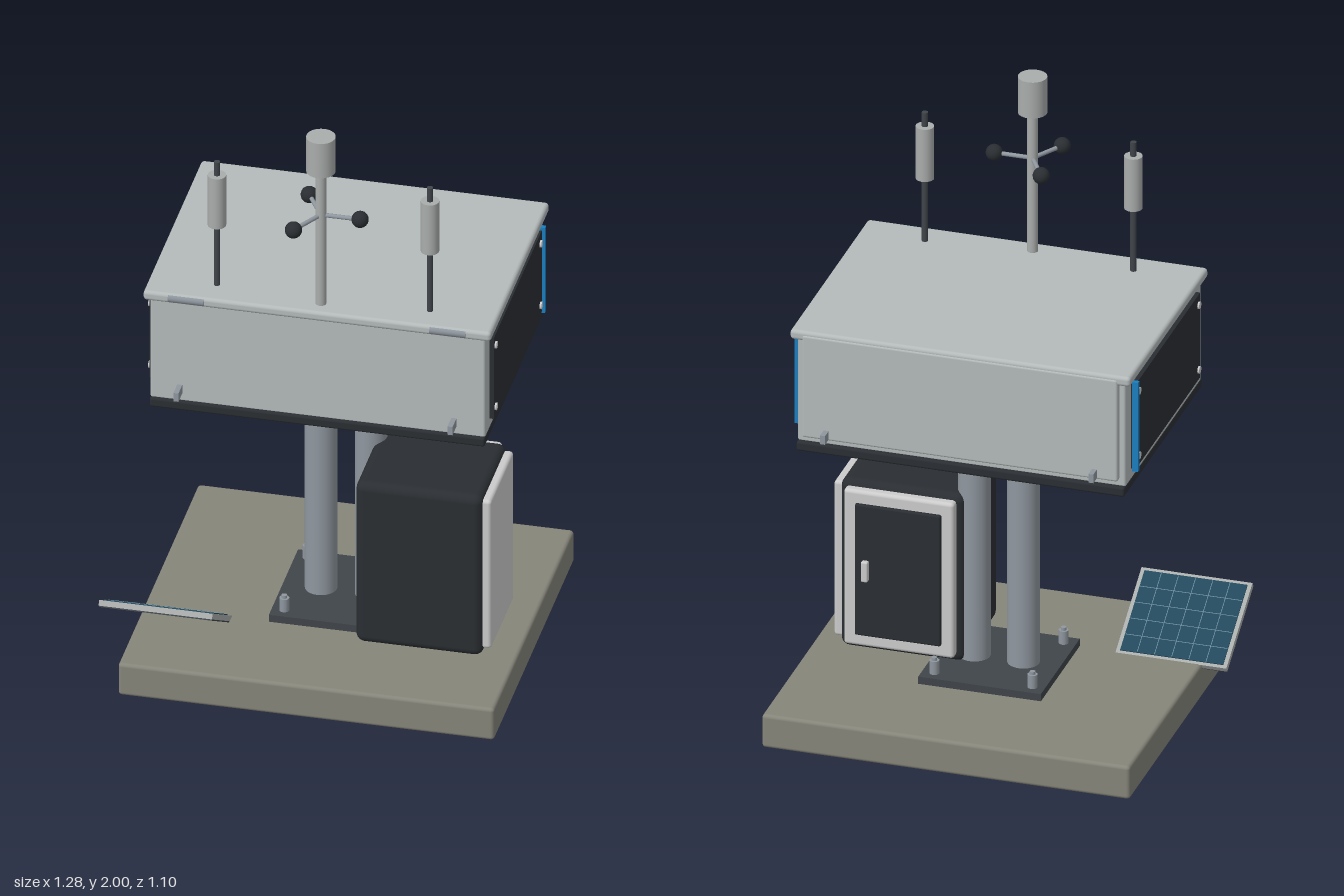
import * as THREE from 'three';
import { RoundedBoxGeometry } from 'three/addons/geometries/RoundedBoxGeometry.js';

const mat = (color) => new THREE.MeshStandardMaterial({ color });
const M = {
  concrete: mat(0x85857a), shell: mat(0xb4baba), light: mat(0xc6caca), steel: mat(0x8f979f),
  dark: mat(0x2a2e32), plate: mat(0x40454a), blue: mat(0x1a7fc0), cell: mat(0x24485c),
  gridLine: mat(0x6f93a3), sensor: mat(0xa9adab),
};

export function createModel() {
  const model = new THREE.Group();
  model.name = 'monitoringStation';

  const add = (name, geo, material, x, y, z, parent = model) => {
    const mesh = new THREE.Mesh(geo, material);
    mesh.name = name;
    mesh.position.set(x, y, z);
    parent.add(mesh);
    return mesh;
  };
  // Box given by its extents, with optional rounded edges
  const box = (name, material, [x0, x1], [y0, y1], [z0, z1], r = 0, parent = model) => {
    const s = [x1 - x0, y1 - y0, z1 - z0];
    const geo = r ? new RoundedBoxGeometry(...s, 3, r) : new THREE.BoxGeometry(...s);
    return add(name, geo, material, (x0 + x1) / 2, (y0 + y1) / 2, (z0 + z1) / 2, parent);
  };
  // Upright cylinder between two heights
  const post = (name, material, r, x, z, y0, y1, sides = 24) =>
    add(name, new THREE.CylinderGeometry(r, r, y1 - y0, sides), material, x, (y0 + y1) / 2, z);
  // Cylinder lying along x
  const bar = (name, material, r, length, x, y, z, parent = model) => {
    const mesh = add(name, new THREE.CylinderGeometry(r, r, length, 20), material, x, y, z, parent);
    mesh.rotation.z = Math.PI / 2;
    return mesh;
  };

  // Ground slab, foot plate, bolts and the two posts
  const cx = 0.04;
  box('slab', M.concrete, [-0.56, 0.64], [0, 0.115], [-0.55, 0.55], 0.012);
  box('footPlate', M.plate, [-0.16, 0.24], [0.115, 0.14], [-0.2, 0.2]);
  for (const sx of [-1, 1]) {
    for (const sz of [-1, 1]) {
      post('anchorBolt', M.steel, 0.016, cx + sx * 0.16, sz * 0.16, 0.135, 0.185, 12);
      post('anchorBoltTip', M.steel, 0.009, cx + sx * 0.16, sz * 0.16, 0.185, 0.195, 12);
    }
    post('supportPost', M.steel, 0.051, cx + sx * 0.08, 0, 0.13, 0.99, 32);
  }

  // Main instrument housing
  box('housingFloor', M.dark, [-0.495, 0.575], [0.972, 1.005], [-0.4, 0.4], 0.008);
  box('housing', M.shell, [-0.495, 0.575], [1.0, 1.365], [-0.385, 0.39], 0.008);
  box('housingLid', M.shell, [-0.515, 0.595], [1.358, 1.392], [-0.403, 0.402], 0.012);
  box('housingBackDoor', M.shell, [-0.475, 0.555], [1.025, 1.38], [-0.406, -0.38], 0.008);

  // Side panels, mirrored about the centre of the housing
  for (const s of [-1, 1]) {
    const side = new THREE.Group();
    side.name = s > 0 ? 'leftSidePanel' : 'rightSidePanel';
    side.position.x = cx;
    if (s < 0) side.rotation.y = Math.PI;
    model.add(side);
    const zs = (a, b) => [a * s, b * s].sort((p, q) => p - q);
    box('panel', M.dark, [0.53, 0.55], [1.04, 1.335], zs(-0.33, 0.335), 0, side);
    box('blueStrip', M.blue, [0.54, 0.56], [1.035, 1.345], zs(-0.337, -0.321), 0, side);
    for (const y of [1.075, 1.3]) {
      for (const z of [-0.3, 0.316]) bar('screw', M.light, 0.012, 0.01, 0.551, y, z * s, side);
    }
  }

  // Lid hinges and the small latches on front and back
  for (const x of [-0.378, 0.457]) bar('lidHinge', M.steel, 0.017, 0.115, x, 1.375, 0.388);
  for (const x of [-0.4, 0.475]) {
    box('frontLatch', M.steel, [x - 0.008, x + 0.008], [1.03, 1.06], [0.38, 0.443]);
    box('backLatch', M.steel, [x - 0.008, x + 0.008], [1.03, 1.06], [-0.443, -0.38]);
  }

  // Rod sensors on the lid, and probes hanging beneath
  for (const s of [-1, 1]) {
    const x = cx + s * 0.34;
    post('sensorRod', M.plate, 0.01, x, 0.31, 1.38, 1.84, 16);
    post('sensorBody', M.sensor, 0.029, x, 0.31, 1.61, 1.792);
    const px = cx + s * 0.345;
    post('probeStem', M.sensor, 0.011, px, 0, 0.845, 0.98, 16);
    bar('probeTip', M.dark, 0.023, 0.03, px, 0.84, 0);
  }

  // Mast with head and three-ball wind gauge
  const mz = 0.345;
  post('mast', M.sensor, 0.017, cx, mz, 1.38, 1.89);
  post('mastHead', M.sensor, 0.046, cx, mz, 1.875, 2, 32);
  for (let i = 0; i < 3; i++) {
    const arm = new THREE.Group();
    arm.name = 'windArm';
    arm.position.set(cx, 1.715, mz);
    arm.rotation.y = (i * Math.PI * 2) / 3;
    model.add(arm);
    bar('armRod', M.steel, 0.007, 0.125, 0.0625, 0, 0, arm);
    add('windBall', new THREE.SphereGeometry(0.027, 20, 14), M.dark, 0.125, 0, 0, arm);
  }

  // Equipment cabinet
  box('cabinet', M.dark, [0.135, 0.541], [0.132, 0.715], [-0.06, 0.29], 0.028);
  box('cabinetSideCover', M.light, [0.53, 0.566], [0.157, 0.697], [-0.042, 0.272], 0.012);
  box('cabinetDoorFrame', M.light, [0.16, 0.52], [0.157, 0.697], [-0.088, -0.05], 0.012);
  box('cabinetDoor', M.dark, [0.2, 0.48], [0.2, 0.655], [-0.1, -0.08], 0.006);
  box('cabinetHandle', M.light, [0.433, 0.455], [0.395, 0.465], [-0.116, -0.095], 0.005);

  // Tilted solar panel, with its cells facing up and back
  const solar = new THREE.Group();
  solar.name = 'solarPanel';
  solar.position.set(-0.46, 0.19, 0.33);
  solar.rotation.x = THREE.MathUtils.degToRad(-32);
  model.add(solar);
  box('solarFrame', M.sensor, [-0.181, 0.181], [-0.008, 0.01], [-0.159, 0.159], 0, solar);
  box('solarBacking', M.plate, [-0.18, 0.18], [-0.012, -0.007], [-0.158, 0.158], 0, solar);
  box('solarCells', M.cell, [-0.168, 0.168], [0.005, 0.013], [-0.148, 0.148], 0, solar);
  for (let i = 1; i < 6; i++) {
    const x = -0.168 + i * 0.056;
    box('cellLine', M.gridLine, [x - 0.001, x + 0.001], [0.01, 0.0145], [-0.146, 0.146], 0, solar);
  }
  for (let i = 1; i < 5; i++) {
    const z = -0.148 + i * 0.0592;
    box('cellLine', M.gridLine, [-0.166, 0.166], [0.01, 0.014], [z - 0.001, z + 0.001], 0, solar);
  }

  return model;
}
